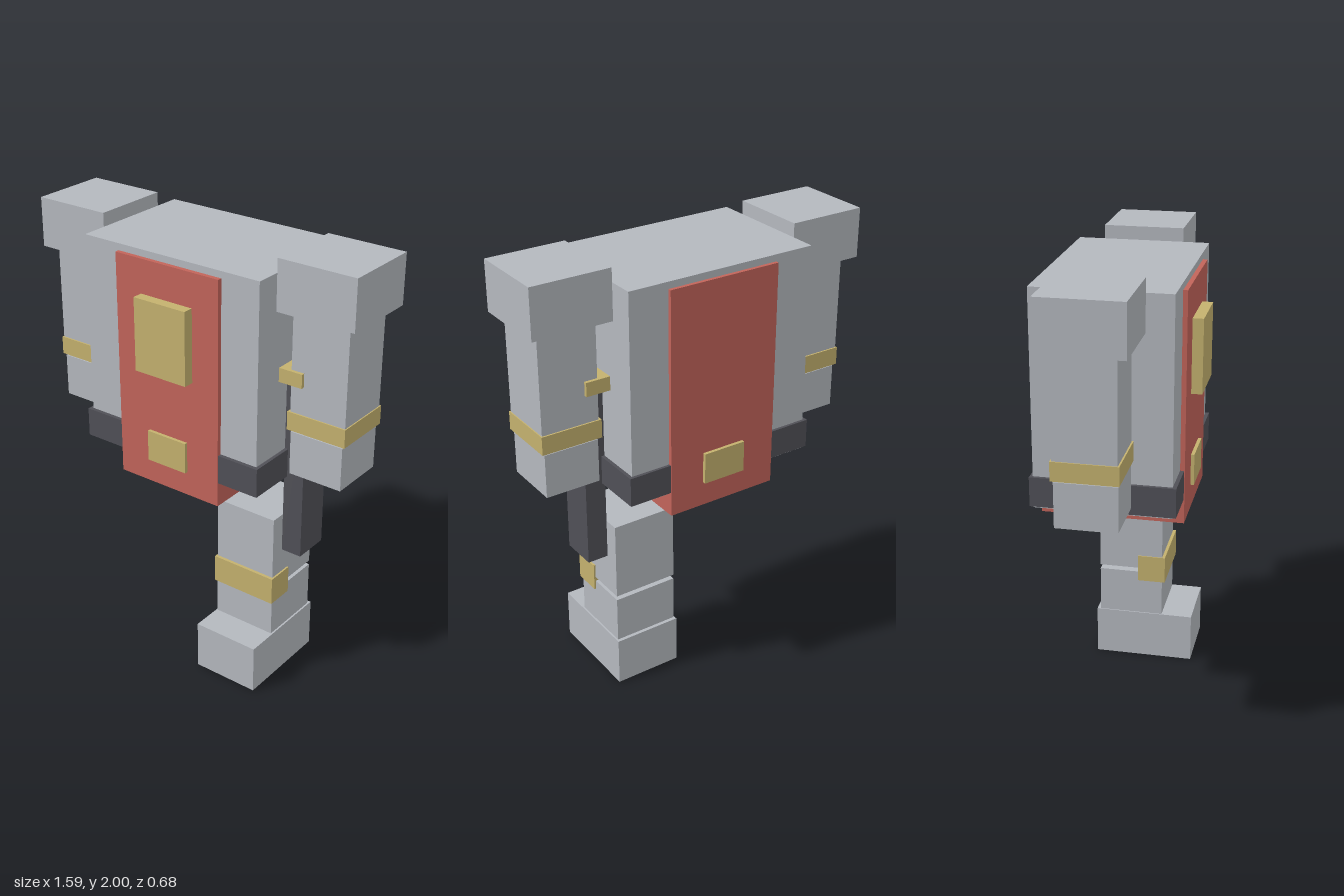
import * as THREE from 'three';

const material = (name, color) => {
  const m = new THREE.MeshStandardMaterial({ color });
  m.name = name;
  return m;
};

export function createModel() {
  const model = new THREE.Group();
  model.name = 'armouredFigure';
  const steel = material('steel', 0xb4b8be);
  const red = material('redCloth', 0xc2645a);
  const gold = material('gold', 0xc4b16e);
  const dark = material('darkIron', 0x505057);

  // Box given by its limits on each axis
  const box = (parent, name, mat, [x0, x1], [y0, y1], [z0, z1]) => {
    const mesh = new THREE.Mesh(new THREE.BoxGeometry(x1 - x0, y1 - y0, z1 - z0), mat);
    mesh.position.set((x0 + x1) / 2, (y0 + y1) / 2, (z0 + z1) / 2);
    mesh.name = name;
    parent.add(mesh);
  };
  const group = (name) => {
    const g = new THREE.Group();
    g.name = name;
    model.add(g);
    return g;
  };

  // Torso with tabard, belt and ornaments
  const torso = group('torso');
  box(torso, 'body', steel, [-0.44, 0.44], [1.0, 1.94], [-0.31, 0.275]);
  box(torso, 'tabard', red, [-0.26, 0.26], [0.9, 1.91], [-0.326, 0.295]);
  box(torso, 'belt', dark, [-0.455, 0.455], [1.01, 1.14], [-0.323, 0.292]);
  box(torso, 'chestPlate', gold, [-0.13, 0.13], [1.435, 1.76], [0.29, 0.342]);
  box(torso, 'frontBuckle', gold, [-0.1, 0.1], [1.01, 1.15], [0.285, 0.31]);
  box(torso, 'backBuckle', gold, [-0.1, 0.1], [1.01, 1.15], [-0.341, -0.32]);

  // Mirrored arms
  for (const [name, s] of [['leftArm', 1], ['rightArm', -1]]) {
    const arm = group(name);
    const span = (a, b) => (s > 0 ? [a, b] : [-b, -a]);
    box(arm, 'shoulderGuard', steel, span(0.44, 0.796), [1.78, 2.0], [-0.195, 0.16]);
    box(arm, 'upperArm', steel, span(0.49, 0.75), [1.262, 1.78], [-0.145, 0.115]);
    box(arm, 'armBand', gold, span(0.48, 0.755), [1.263, 1.345], [-0.152, 0.122]);
    box(arm, 'forearm', steel, span(0.495, 0.742), [1.06, 1.255], [-0.143, 0.115]);
  }

  // Single standing leg
  const leg = group('leftLeg');
  box(leg, 'thigh', steel, [0.14, 0.437], [0.46, 0.815], [-0.16, 0.133]);
  box(leg, 'shin', steel, [0.14, 0.437], [0.22, 0.44], [-0.16, 0.133]);
  box(leg, 'kneeBand', gold, [0.135, 0.445], [0.397, 0.524], [0.02, 0.147]);
  box(leg, 'foot', steel, [0.135, 0.445], [0, 0.226], [-0.176, 0.275]);

  // Sword hanging at the left hip
  const sword = group('sword');
  box(sword, 'blade', dark, [0.44, 0.535], [0.64, 1.45], [-0.096, 0.07]);
  box(sword, 'crossguard', gold, [0.425, 0.55], [1.468, 1.53], [-0.16, 0.13]);
  const pommelShape = new THREE.SphereGeometry(0.065, 8, 6).toNonIndexed();
  pommelShape.computeVertexNormals();
  const pommel = new THREE.Mesh(pommelShape, gold);
  pommel.name = 'pommel';
  pommel.position.set(0.488, 1.662, -0.014);
  sword.add(pommel);

  return model;
}
